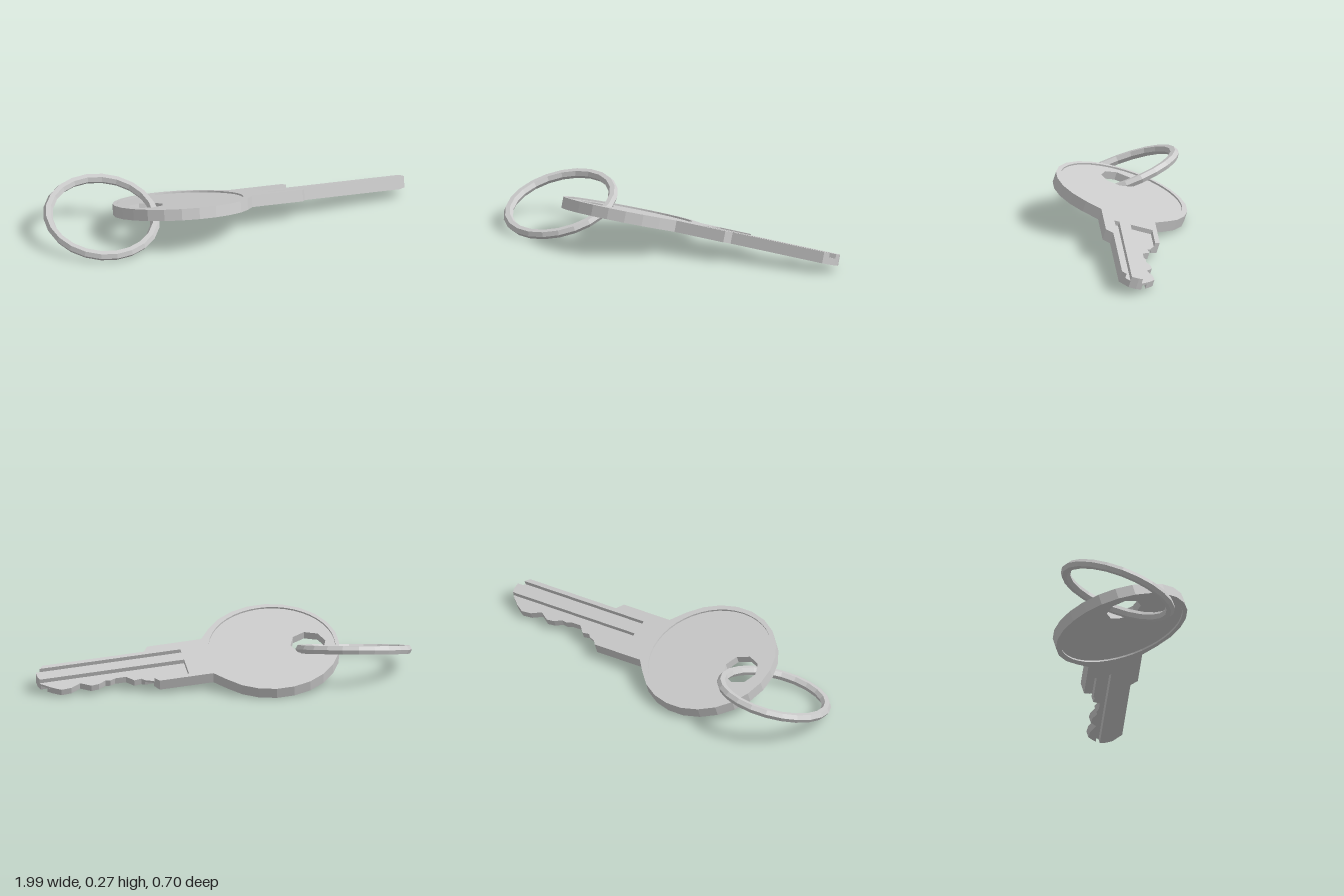
import * as THREE from 'three';

const material = new THREE.MeshStandardMaterial({ color: 0xcccccc, flatShading: true });

// Group whose local XY plane lies on the slope y = dydx * x + dydz * z
function tiltedGroup(name, dydx, dydz, position) {
  const group = new THREE.Group();
  const n = new THREE.Vector3(-dydx, 1, -dydz).normalize();
  const x = new THREE.Vector3(1, dydx, 0).normalize();
  const y = new THREE.Vector3().crossVectors(n, x);
  group.quaternion.setFromRotationMatrix(new THREE.Matrix4().makeBasis(x, y, n));
  group.position.set(...position);
  group.name = name;
  return group;
}

// Points on an arc
function arc(cx, cy, r, from, to, steps) {
  return Array.from({ length: steps + 1 }, (_, i) => {
    const a = from + ((to - from) * i) / steps;
    return [cx + r * Math.cos(a), cy + r * Math.sin(a)];
  });
}

const circle = (cx, cy, r, sides) => arc(cx, cy, r, 0, Math.PI * 2, sides).slice(0, -1);
const toVectors = (points) => points.map(([x, y]) => new THREE.Vector2(x, y));

// Flat plate between two heights, with an optional hole
function plate(name, outline, hole, bottom, top) {
  const shape = new THREE.Shape(toVectors(outline));
  if (hole) shape.holes.push(new THREE.Path(toVectors(hole)));
  const geometry = new THREE.ExtrudeGeometry(shape, { depth: top - bottom, bevelEnabled: false });
  geometry.translate(0, 0, bottom);
  const mesh = new THREE.Mesh(geometry, material);
  mesh.name = name;
  return mesh;
}

export function createModel() {
  const model = new THREE.Group();
  model.name = 'keyWithRing';

  const half = 0.03, web = 0.006, pad = 0.021;
  const bowX = -0.258, joint = 0.66;

  // Bow and shank edge, from the back shoulder round to the front one
  const head = [
    [0.372, 0.158], [0.085, 0.158],
    ...arc(bowX, 0.004, 0.36, joint, Math.PI * 2 - joint, 19),
    [0.085, -0.138], [0.375, -0.138], [0.4, -0.1],
  ];
  // Cut edge of the blade, tip to shoulder
  const bits = [
    [0.928, 0.064], [0.885, 0.091], [0.83, 0.086], [0.778, 0.058], [0.725, 0.091],
    [0.682, 0.086], [0.644, 0.064], [0.617, 0.069], [0.59, 0.058], [0.532, 0.058],
    [0.495, 0.097], [0.457, 0.091], [0.44, 0.108], [0.398, 0.125],
  ];
  const keyHole = circle(-0.457, 0.006, 0.094, 8);
  const recess = circle(-0.264, 0.004, 0.333, 44);

  const key = tiltedGroup('key', -0.065, 0.3, [0, 0.118, 0]);

  // Thin web running through the whole key
  const web2D = [...head, [0.945, -0.1], [0.992, -0.05], [0.992, -0.01], [0.981, 0.02], ...bits];
  key.add(plate('keyCore', web2D, keyHole, -web, web));

  // Upper face: front rail, groove, centre rib and milled back
  const upper = [
    ...head, [0.945, -0.1], [0.967, -0.077], [0.21, -0.077], [0.21, -0.05],
    [0.992, -0.05], [0.992, -0.01], [0.985, 0.012], [0.21, 0.012],
    [0.21, 0.131], [0.395, 0.131],
  ];
  key.add(plate('upperFace', upper, recess, web, half));

  // Lower face: wide front rail, groove, bitted rail and shoulder slot
  const lower = [
    ...head, [0.945, -0.1], [0.992, -0.05], [0.992, -0.01], [0.981, 0.02],
    [0.23, 0.02], [0.23, 0.045], [0.952, 0.045],
    ...bits.slice(0, -2), [0.44, 0.1], [0.23, 0.1], [0.23, 0.122], [0.395, 0.122],
  ];
  key.add(plate('lowerFace', lower, recess, -half, -web));

  // Sunken panel of the bow, seen on both sides
  key.add(plate('bowPanel', circle(-0.264, 0.004, 0.335, 44), keyHole, -pad, pad));
  model.add(key);

  // Split ring threaded through the bow
  const ring = tiltedGroup('keyRing', 0.08, -0.355, [-0.692, 0.126, -0.05]);
  const hoop = new THREE.Mesh(new THREE.TorusGeometry(0.281, 0.025, 6, 22), material);
  hoop.scale.y = 1.04;
  hoop.name = 'ringHoop';
  ring.add(hoop);
  model.add(ring);

  return model;
}
